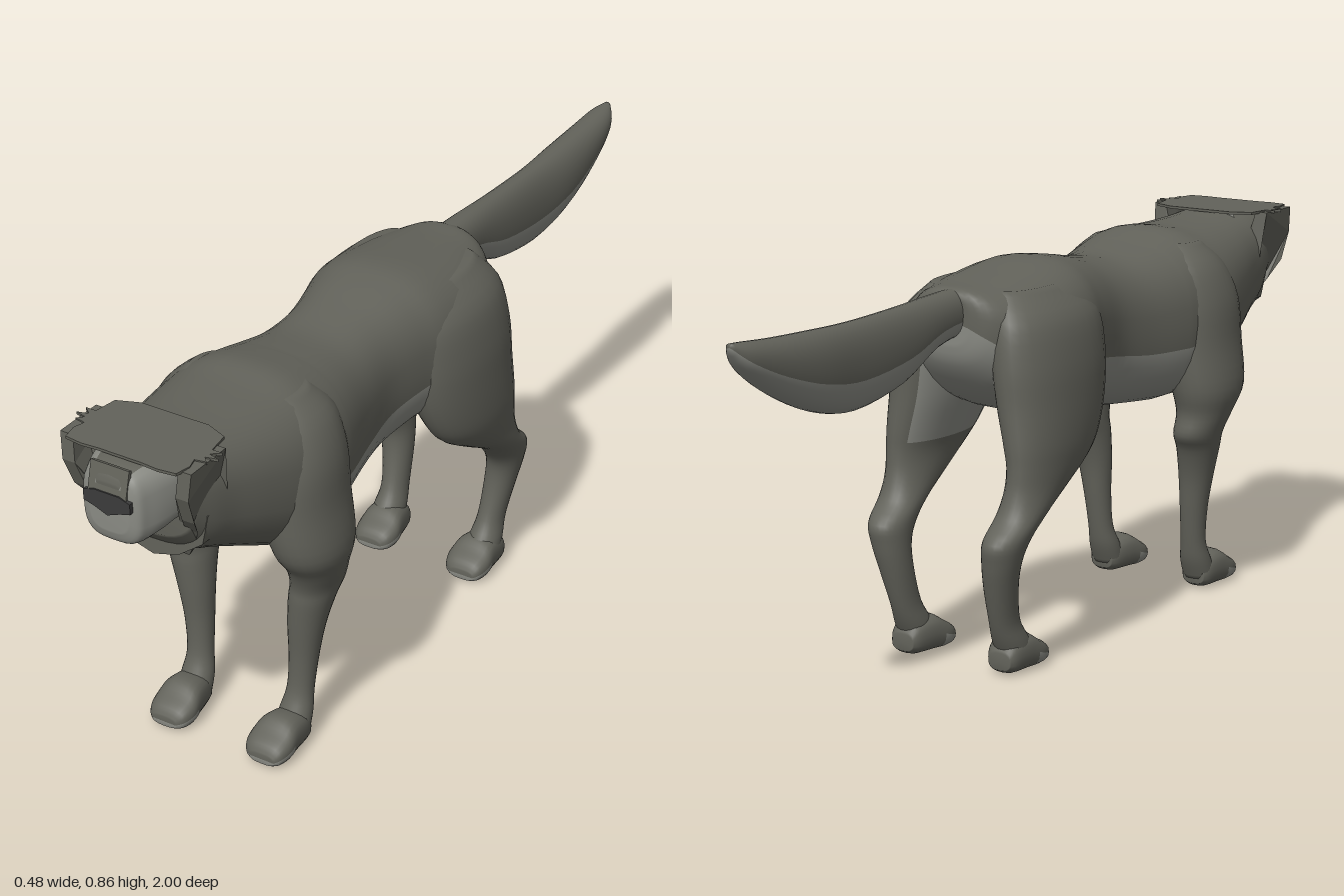
import * as THREE from 'three';

const coat = new THREE.MeshStandardMaterial({ color: 0x62625a, side: THREE.DoubleSide });
coat.name = 'darkCoat';
const pale = new THREE.MeshStandardMaterial({ color: 0x8a8b84, side: THREE.DoubleSide });
pale.name = 'paleFur';
const black = new THREE.MeshStandardMaterial({ color: 0x3b3b3b });
black.name = 'noseBlack';

const spline = (a, b, c, d, t) =>
  0.5 * (2 * b + (c - a) * t + (2 * a - 5 * b + 4 * c - d) * t * t + (3 * b - a - 3 * c + d) * t * t * t);

// Smooth loft through rows [s, x0, x1, v0, v1]: s runs up z (v = y) or down y (v = z).
// isPale(s, cos, sin) picks the colour of each face.
function loft(name, rows, axis, power, isPale = () => false, seg = 28, sub = 4) {
  const rings = [];
  const at = i => rows[Math.max(0, Math.min(rows.length - 1, i))];
  for (let i = 0; i < rows.length - 1; i++)
    for (let k = 0; k < sub; k++)
      rings.push(rows[0].map((_, c) => spline(at(i - 1)[c], at(i)[c], at(i + 1)[c], at(i + 2)[c], k / sub)));
  rings.push(rows[rows.length - 1]);

  const pos = [], faces = [[], []];
  const put = (s, x, v) => (axis === 'z' ? pos.push(x, v, s) : pos.push(x, s, v));
  const round = t => Math.sign(t) * Math.abs(t) ** (2 / power);
  for (const [s, x0, x1, v0, v1] of rings)
    for (let j = 0; j < seg; j++) {
      const a = (j / seg) * Math.PI * 2;
      put(s, (x0 + x1) / 2 + (x1 - x0) / 2 * round(Math.cos(a)), (v0 + v1) / 2 + (v1 - v0) / 2 * round(Math.sin(a)));
    }
  const n = rings.length;
  for (const r of [rings[0], rings[n - 1]]) put(r[0], (r[1] + r[2]) / 2, (r[3] + r[4]) / 2);
  for (let j = 0; j < seg; j++) {
    const k = (j + 1) % seg, a = ((j + 0.5) / seg) * Math.PI * 2;
    const bin = s => faces[isPale(s, Math.cos(a), Math.sin(a)) ? 1 : 0];
    for (let i = 0; i < n - 1; i++) {
      const p = i * seg, q = p + seg;
      bin((rings[i][0] + rings[i + 1][0]) / 2).push(p + j, p + k, q + j, p + k, q + k, q + j);
    }
    const e = (n - 1) * seg;
    bin(rings[0][0]).push(n * seg, k, j);
    bin(rings[n - 1][0]).push(n * seg + 1, e + j, e + k);
  }
  const g = new THREE.BufferGeometry();
  g.setAttribute('position', new THREE.Float32BufferAttribute(pos, 3));
  g.setIndex([...faces[0], ...faces[1]]);
  g.addGroup(0, faces[0].length, 0);
  g.addGroup(faces[0].length, faces[1].length, 1);
  g.computeVertexNormals();
  const m = new THREE.Mesh(g, [coat, pale]);
  m.name = name;
  return m;
}

// Swaps the sides of a row for the right-hand limb
const flip = (rows, side) => rows.map(([s, a, b, c, d]) => (side > 0 ? [s, a, b, c, d] : [s, -b, -a, c, d]));
const even = rows => rows.map(([s, w, lo, hi]) => [s, -w, w, lo, hi]);
const outline = pts => new THREE.Shape(pts.map(p => new THREE.Vector2(...p)));

export function createModel() {
  const model = new THREE.Group();
  model.name = 'dog';

  // Torso and neck
  model.add(loft('torso', even([
    [-0.275, 0.05, 0.71, 0.815], [-0.26, 0.1, 0.66, 0.828], [-0.2, 0.15, 0.59, 0.832], [-0.1, 0.185, 0.54, 0.843],
    [0.02, 0.182, 0.515, 0.857], [0.1, 0.162, 0.505, 0.85], [0.2, 0.145, 0.49, 0.832], [0.3, 0.157, 0.476, 0.821],
    [0.4, 0.182, 0.466, 0.834], [0.44, 0.19, 0.464, 0.842], [0.52, 0.197, 0.466, 0.856], [0.6, 0.195, 0.485, 0.85],
    [0.7, 0.173, 0.535, 0.85], [0.78, 0.152, 0.575, 0.855], [0.84, 0.14, 0.605, 0.86], [0.89, 0.125, 0.66, 0.86],
  ]), 'z', 2.5, (z, c, s) => z < 0.44 && s < -0.15, 36));

  // Tail
  model.add(loft('tail', even([
    [-1, 0.008, 0.815, 0.832], [-0.96, 0.032, 0.765, 0.829], [-0.87, 0.044, 0.705, 0.822], [-0.75, 0.049, 0.652, 0.817],
    [-0.62, 0.044, 0.63, 0.814], [-0.46, 0.042, 0.655, 0.818], [-0.34, 0.04, 0.71, 0.824], [-0.22, 0.04, 0.73, 0.828],
  ]), 'z', 2.2, (z, c, s) => s < -0.25));

  // Legs and paws
  const front = [
    [0.83, 0.05, 0.13, 0.47, 0.58], [0.78, 0.05, 0.185, 0.43, 0.62], [0.7, 0.05, 0.217, 0.42, 0.65],
    [0.6, 0.06, 0.226, 0.42, 0.655], [0.5, 0.09, 0.238, 0.43, 0.64], [0.44, 0.105, 0.224, 0.445, 0.6],
    [0.39, 0.104, 0.207, 0.44, 0.58], [0.35, 0.102, 0.196, 0.465, 0.578], [0.28, 0.1, 0.179, 0.488, 0.572],
    [0.2, 0.101, 0.165, 0.5, 0.565], [0.12, 0.099, 0.158, 0.512, 0.568], [0.07, 0.09, 0.163, 0.522, 0.59],
    [0.025, 0.088, 0.165, 0.54, 0.61],
  ];
  const hind = [
    [0.82, 0.04, 0.13, -0.2, 0.04], [0.76, 0.04, 0.19, -0.245, 0.09], [0.67, 0.045, 0.214, -0.26, 0.095],
    [0.58, 0.06, 0.22, -0.26, 0.08], [0.5, 0.085, 0.22, -0.262, 0.045], [0.45, 0.1, 0.215, -0.262, 0],
    [0.4, 0.104, 0.208, -0.267, -0.08], [0.35, 0.104, 0.203, -0.288, -0.165], [0.305, 0.104, 0.195, -0.337, -0.212],
    [0.26, 0.104, 0.185, -0.335, -0.238], [0.2, 0.102, 0.172, -0.32, -0.238], [0.12, 0.1, 0.16, -0.295, -0.217],
    [0.07, 0.092, 0.166, -0.275, -0.185], [0.025, 0.09, 0.168, -0.25, -0.17],
  ];
  const paw = [
    [-0.145, 0.1, 0.155, 0.012, 0.05], [-0.125, 0.088, 0.166, 0.002, 0.075], [-0.075, 0.076, 0.172, 0, 0.085],
    [-0.04, 0.07, 0.175, 0, 0.066], [-0.012, 0.078, 0.168, 0.003, 0.05], [0, 0.095, 0.155, 0.009, 0.032],
  ];
  for (const side of [1, -1]) {
    const word = side > 0 ? 'left' : 'right';
    model.add(loft(word + 'FrontLeg', flip(front, side), 'y', 2.1));
    model.add(loft(word + 'HindLeg', flip(hind, side), 'y', 2.1, (y, c, s) => y > 0.47 && c * side < -0.35 && s < 0.8));
    for (const [part, toe] of [['FrontPaw', 0.688], ['HindPaw', -0.128]]) {
      const rows = paw.map(([z, ...r]) => [z + toe, ...r]);
      model.add(loft(word + part, flip(rows, side), 'z', 2.6, (z, c, s) => z > toe - 0.06 && s < 0.1, 20));
    }
  }

  // Muzzle with a dark bridge
  model.add(loft('muzzle', even([
    [0.8, 0.108, 0.68, 0.856], [0.88, 0.102, 0.7, 0.857], [0.93, 0.09, 0.69, 0.857],
    [0.965, 0.076, 0.684, 0.853], [0.985, 0.066, 0.69, 0.843], [0.994, 0.045, 0.715, 0.82],
  ]), 'z', 3.2, (z, c, s) => s < 0.88));
  const bridge = new THREE.Mesh(new THREE.BoxGeometry(0.09, 0.062, 0.008), coat);
  bridge.name = 'muzzleBridge';
  bridge.position.set(0, 0.826, 0.987);
  bridge.rotation.x = -0.25;
  model.add(bridge);

  // Nose
  const noseShape = outline([[-0.055, 0.795], [-0.055, 0.772], [-0.03, 0.765], [0, 0.753], [0.03, 0.765], [0.055, 0.772], [0.055, 0.795], [0.03, 0.803], [-0.03, 0.803]]);
  const nose = new THREE.Mesh(new THREE.ExtrudeGeometry(noseShape, { depth: 0.04, bevelEnabled: false }), black);
  nose.name = 'nose';
  nose.position.z = 0.96;
  model.add(nose);

  // Flat crown with ragged tufts at the sides
  const half = [[0.05, 0.952], [0.09, 0.955], [0.13, 0.95], [0.137, 0.915], [0.13, 0.89], [0.155, 0.885], [0.142, 0.872],
    [0.168, 0.865], [0.143, 0.858], [0.162, 0.842], [0.138, 0.842], [0.13, 0.79], [0.08, 0.77]];
  const crownShape = outline([...half, ...half.map(([x, z]) => [-x, z]).reverse()]);
  const crown = new THREE.Mesh(new THREE.ExtrudeGeometry(crownShape, { depth: 0.006, bevelEnabled: false }), coat);
  crown.name = 'crown';
  crown.rotation.x = Math.PI / 2;
  crown.position.y = 0.863;
  model.add(crown);

  // Cheek fur: slabs in the side plane, drawn in toward the chin at the bottom
  const cheekShape = outline([[0.935, 0.86], [0.94, 0.8], [0.915, 0.735], [0.88, 0.69], [0.85, 0.64], [0.832, 0.592], [0.825, 0.62], [0.8, 0.635], [0.805, 0.75], [0.82, 0.86]]);
  for (const side of [1, -1]) {
    const g = new THREE.ExtrudeGeometry(cheekShape, { depth: 0.03, bevelEnabled: false });
    g.rotateY(-Math.PI / 2);
    const p = g.attributes.position;
    for (let i = 0; i < p.count; i++) {
      const drop = Math.max(0, 0.72 - p.getY(i));
      const x = side * (0.142 + 0.012 * (p.getY(i) - 0.72) / 0.14) + p.getX(i) + (side < 0 ? 0.03 : 0);
      p.setX(i, x - side * drop * 0.5);
    }
    g.computeVertexNormals();
    const cheek = new THREE.Mesh(g, coat);
    cheek.name = side > 0 ? 'leftCheekFur' : 'rightCheekFur';
    cheek.position.z = 0;
    // Profile x becomes z after the turn
    model.add(cheek);
  }

  // Pointed ruff under the chin
  const ruffShape = outline([[-0.135, 0.72], [-0.12, 0.65], [-0.06, 0.605], [0, 0.588], [0.06, 0.605], [0.12, 0.65], [0.135, 0.72]]);
  const ruff = new THREE.Mesh(new THREE.ExtrudeGeometry(ruffShape, { depth: 0.03, bevelEnabled: false }), coat);
  ruff.name = 'chinRuff';
  ruff.position.z = 0.83;
  model.add(ruff);

  return model;
}
